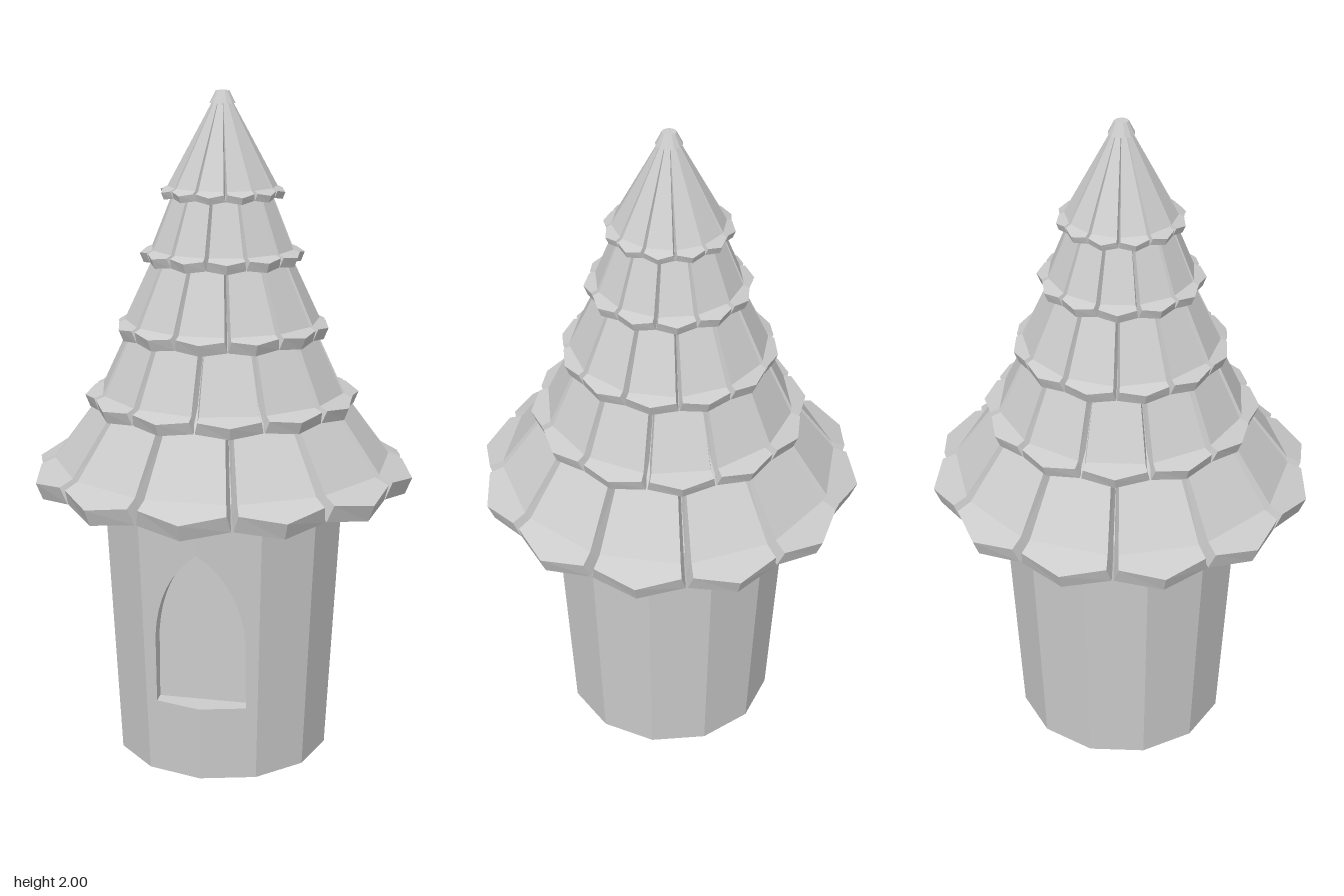
import * as THREE from 'three';

const SIDES = 12;
const STEP = (Math.PI * 2) / SIDES;
const WALL_H = 0.95;
const wallRadius = (y) => 0.325 + 0.052 * y;
// depth of the two front facets, which meet at x = 0
const frontZ = (x, y) => wallRadius(y) - Math.abs(x) * Math.tan(STEP / 2);
const NICHE_Z = 0.262;

const material = new THREE.MeshStandardMaterial({ color: 0xcccccc, flatShading: true, side: THREE.DoubleSide });

function mesh(name, geometry) {
  const m = new THREE.Mesh(geometry, material);
  m.name = name;
  return m;
}

// geometry from flat quads or triangles given as corner lists
function fromFaces(faces) {
  const pos = [];
  for (const f of faces) {
    for (let i = 1; i < f.length - 1; i++) pos.push(...f[0], ...f[i], ...f[i + 1]);
  }
  const g = new THREE.BufferGeometry();
  g.setAttribute('position', new THREE.Float32BufferAttribute(pos, 3));
  g.computeVertexNormals();
  return g;
}

// right half of the pointed doorway, from the sill centre to the apex
function doorHalf() {
  const arch = new THREE.QuadraticBezierCurve(
    new THREE.Vector2(0.135, 0.44), new THREE.Vector2(0.125, 0.62), new THREE.Vector2(0, 0.72));
  return [new THREE.Vector2(0, 0.23), new THREE.Vector2(0.135, 0.23), ...arch.getPoints(8)];
}

// half of the front wall with the doorway cut out, bent onto its facet
function frontWall(sign) {
  const pts = [
    new THREE.Vector2(0, 0),
    new THREE.Vector2(wallRadius(0) / 2, 0),
    new THREE.Vector2(wallRadius(WALL_H) / 2, WALL_H),
    new THREE.Vector2(0, WALL_H),
    ...doorHalf().reverse(),
  ].map((p) => new THREE.Vector2(p.x * sign, p.y));
  const g = new THREE.ShapeGeometry(new THREE.Shape(pts));
  const pos = g.attributes.position;
  for (let i = 0; i < pos.count; i++) pos.setZ(i, frontZ(pos.getX(i), pos.getY(i)));
  g.computeVertexNormals();
  return g;
}

// sill, jambs and arch between the wall and the niche back
function doorReveal(loop) {
  return fromFaces(loop.map((a, i) => {
    const b = loop[(i + 1) % loop.length];
    return [
      [a.x, a.y, frontZ(a.x, a.y)], [b.x, b.y, frontZ(b.x, b.y)],
      [b.x, b.y, NICHE_Z], [a.x, a.y, NICHE_Z],
    ];
  }));
}

// one pointed roof tile: sloped part, flared lip and bevelled sides
function tileGeometry({ top, bend, tip, thick }) {
  const t = 0.48;
  const corner = [bend[0] + (tip[0] - bend[0]) * t, bend[1] + (tip[1] - bend[1]) * t];
  const ring = (ratio, dr, dy) => {
    const at = ([r, y], s) => [s * r * ratio, y + dy, r + dr];
    return [at(top, -1), at(bend, -1), at(corner, -1), at(tip, 0), at(corner, 1), at(bend, 1), at(top, 1)];
  };
  const upper = ring(0.236, 0, 0);
  const lower = ring(0.252, -thick * 0.4, -thick);
  const panels = [[0, 1, 5, 6], [1, 2, 4, 5], [2, 3, 4]];
  const faces = [];
  for (const p of panels) {
    faces.push(p.map((i) => upper[i]));
    faces.push(p.map((i) => lower[i]).reverse());
  }
  for (let i = 0; i < 7; i++) {
    const j = (i + 1) % 7;
    faces.push([upper[i], lower[i], lower[j], upper[j]]);
  }
  return fromFaces(faces);
}

export function createModel() {
  const model = new THREE.Group();
  model.name = 'tower';

  // tapered wall, open at the bottom, with the front two facets built apart
  const wall = mesh('wall', new THREE.CylinderGeometry(
    wallRadius(WALL_H), wallRadius(0), WALL_H, SIDES - 2, 1, true, STEP, Math.PI * 2 - 2 * STEP));
  wall.position.y = WALL_H / 2;
  model.add(wall);
  model.add(mesh('frontWallLeft', frontWall(1)), mesh('frontWallRight', frontWall(-1)));

  // door niche
  const half = doorHalf();
  const mirrored = half.slice(1, -1).reverse().map((p) => new THREE.Vector2(-p.x, p.y));
  const loop = [...half, ...mirrored];
  const back = mesh('nicheBack', new THREE.ShapeGeometry(new THREE.Shape(loop)));
  back.position.z = NICHE_Z;
  model.add(mesh('doorReveal', doorReveal(loop)), back);

  // roof core behind the tiles
  const profile = [[0.45, 0.9], [0.325, 1.1], [0.235, 1.31], [0.165, 1.53], [0.11, 1.72], [0.015, 1.97]];
  model.add(mesh('roofCore', new THREE.LatheGeometry(
    profile.map(([r, y]) => new THREE.Vector2(r, y)), SIDES)));

  // tile rows, [radius, height] along the middle of each tile
  const rows = [
    { top: [0.325, 1.15], bend: [0.49, 0.92], tip: [0.575, 0.88], thick: 0.05 },
    { top: [0.25, 1.36], bend: [0.355, 1.13], tip: [0.41, 1.11], thick: 0.036 },
    { top: [0.175, 1.57], bend: [0.28, 1.34], tip: [0.317, 1.322], thick: 0.034 },
    { top: [0.13, 1.74], bend: [0.205, 1.55], tip: [0.242, 1.535], thick: 0.028 },
    { top: [0.02, 1.985], bend: [0.155, 1.73], tip: [0.185, 1.715], thick: 0.02 },
  ];
  rows.forEach((row, k) => {
    const group = new THREE.Group();
    group.name = `tileRow${k + 1}`;
    const geometry = tileGeometry(row);
    for (let i = 0; i < SIDES; i++) {
      const tile = mesh('roofTile', geometry);
      tile.rotation.y = (i + (k % 2) / 2) * STEP;
      group.add(tile);
    }
    model.add(group);
  });

  // cap at the peak
  const cap = mesh('roofCap', new THREE.CylinderGeometry(0.02, 0.038, 0.035, SIDES));
  cap.position.y = 1.9825;
  model.add(cap);

  return model;
}
